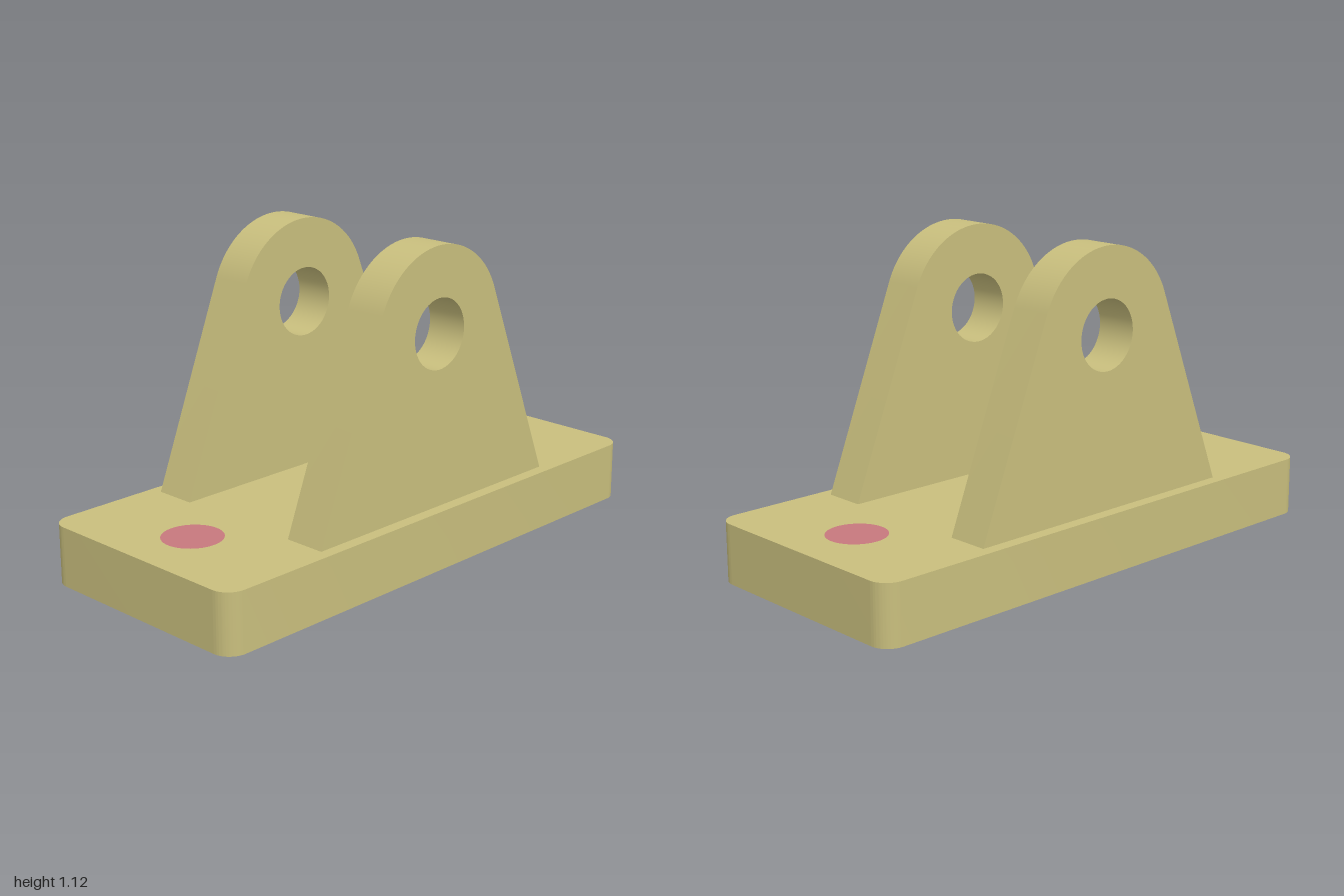
import * as THREE from 'three';
import { toCreasedNormals } from 'three/addons/utils/BufferGeometryUtils.js';

const BASE = { x: 1, z: 0.438, height: 0.212, corner: 0.07 };
const BOLT = { x: 0.757, radius: 0.105 };
const LUG = { foot: 0.56, eyeY: 0.82, radius: 0.3, eye: 0.123, near: 0.242, depth: 0.152 };

function circleHole(x, y, r) {
  return new THREE.Path().absarc(x, y, r, 0, Math.PI * 2, true);
}

// Straight extrusion with smooth curves and sharp edges
function extrude(shape, depth) {
  const geometry = new THREE.ExtrudeGeometry(shape, { depth, bevelEnabled: false, curveSegments: 24 });
  return toCreasedNormals(geometry, 0.5);
}

// Rounded rectangle with two bolt holes
function baseGeometry() {
  const { x, z, corner: r, height } = BASE;
  const shape = new THREE.Shape();
  shape.absarc(x - r, z - r, r, 0, Math.PI / 2);
  shape.absarc(-x + r, z - r, r, Math.PI / 2, Math.PI);
  shape.absarc(-x + r, -z + r, r, Math.PI, Math.PI * 1.5);
  shape.absarc(x - r, -z + r, r, Math.PI * 1.5, Math.PI * 2);
  shape.closePath();
  for (const side of [-1, 1]) shape.holes.push(circleHole(side * BOLT.x, 0, BOLT.radius));
  return extrude(shape, height).rotateX(-Math.PI / 2);
}

// Tapered plate whose straight sides run tangent into a round top
function lugGeometry() {
  const { foot, eyeY, radius, eye, depth } = LUG;
  const drop = eyeY - BASE.height;
  const tangent = Math.acos(radius / Math.hypot(foot, drop)) - Math.atan2(drop, foot);
  const shape = new THREE.Shape();
  shape.moveTo(-foot, BASE.height);
  shape.lineTo(foot, BASE.height);
  shape.absarc(0, eyeY, radius, tangent, Math.PI - tangent);
  shape.closePath();
  shape.holes.push(circleHole(0, eyeY, eye));
  return extrude(shape, depth);
}

export function createModel() {
  const body = new THREE.MeshStandardMaterial({ color: 0xc8be7d });
  body.name = 'khaki body';
  const fill = new THREE.MeshStandardMaterial({ color: 0xc6787d });
  fill.name = 'rose bolt fill';

  const model = new THREE.Group();
  model.name = 'clevisBracket';
  const add = (name, geometry, material, x = 0, y = 0, z = 0) => {
    const mesh = new THREE.Mesh(geometry, material);
    mesh.name = name;
    mesh.position.set(x, y, z);
    model.add(mesh);
  };

  add('basePlate', baseGeometry(), body);

  // Pair of upright lugs
  const lug = lugGeometry();
  add('frontLug', lug, body, 0, 0, LUG.near);
  add('backLug', lug, body, 0, 0, -LUG.near - LUG.depth);

  // Flush plugs filling the bolt holes
  const plug = new THREE.CylinderGeometry(BOLT.radius, BOLT.radius, BASE.height, 48);
  add('leftBoltPlug', plug, fill, BOLT.x, BASE.height / 2);
  add('rightBoltPlug', plug, fill, -BOLT.x, BASE.height / 2);

  return model;
}
